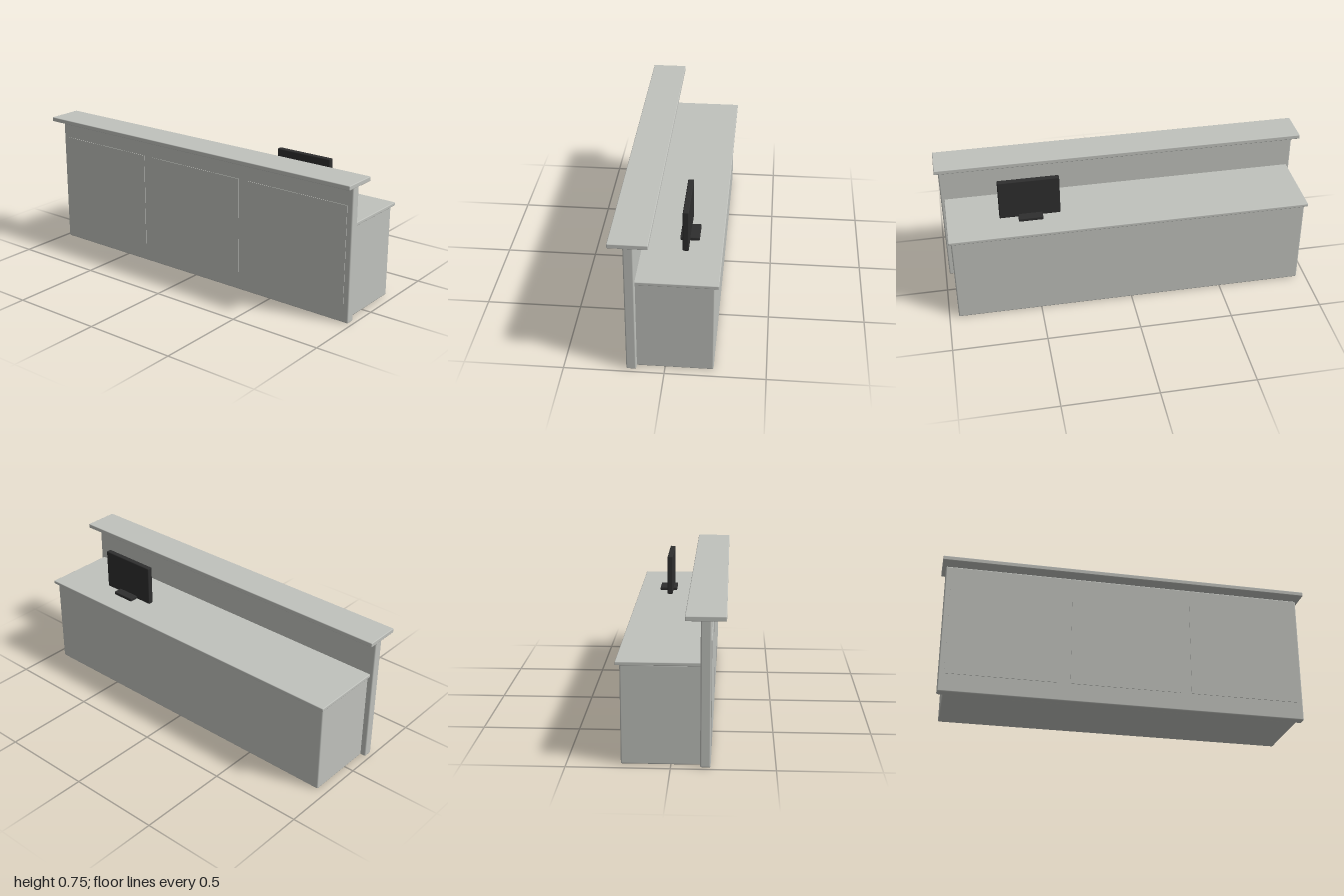
import * as THREE from 'three';
import { RoundedBoxGeometry } from 'three/addons/geometries/RoundedBoxGeometry.js';

export function createModel() {
  const model = new THREE.Group();
  model.name = 'receptionDesk';

  const deskGrey = new THREE.MeshStandardMaterial({ color: 0xc0c2bd });
  deskGrey.name = 'desk grey';
  const darkPlastic = new THREE.MeshStandardMaterial({ color: 0x2e2e2e });
  darkPlastic.name = 'dark plastic';

  // Box given by its extents on each axis, with small rounded edges
  function block(name, material, [x0, x1], [y0, y1], [z0, z1], radius, parent = model) {
    const w = x1 - x0, h = y1 - y0, d = z1 - z0;
    const geometry = radius
      ? new RoundedBoxGeometry(w, h, d, 2, radius)
      : new THREE.BoxGeometry(w, h, d);
    const mesh = new THREE.Mesh(geometry, material);
    mesh.position.set((x0 + x1) / 2, (y0 + y1) / 2, (z0 + z1) / 2);
    mesh.name = name;
    parent.add(mesh);
    return mesh;
  }

  // Desk body and work surface behind the front wall
  block('deskBody', deskGrey, [-0.95, 0.95], [0, 0.497], [-0.24, 0.15], 0.007);
  block('workSurface', deskGrey, [-0.963, 0.963], [0.496, 0.514], [-0.26, 0.15], 0.004);

  // Tall front wall topped by the visitor shelf
  block('frontWall', deskGrey, [-0.98, 0.98], [0, 0.722], [0.14, 0.19], 0.007);
  block('visitorShelf', deskGrey, [-1, 1], [0.722, 0.746], [0.068, 0.26], 0.004);

  // Three shallow panels on the front
  for (const x of [-0.653, 0, 0.653]) {
    block('frontPanel', deskGrey, [x - 0.297, x + 0.297], [0.1, 0.62], [0.186, 0.193], 0);
  }

  // Monitor on its foot
  const monitor = new THREE.Group();
  monitor.name = 'monitor';
  model.add(monitor);
  block('monitorScreen', darkPlastic, [0.358, 0.683], [0.515, 0.736], [-0.093, -0.063], 0.005, monitor);
  block('monitorFoot', darkPlastic, [0.455, 0.585], [0.514, 0.532], [-0.14, -0.043], 0.004, monitor);

  return model;
}
